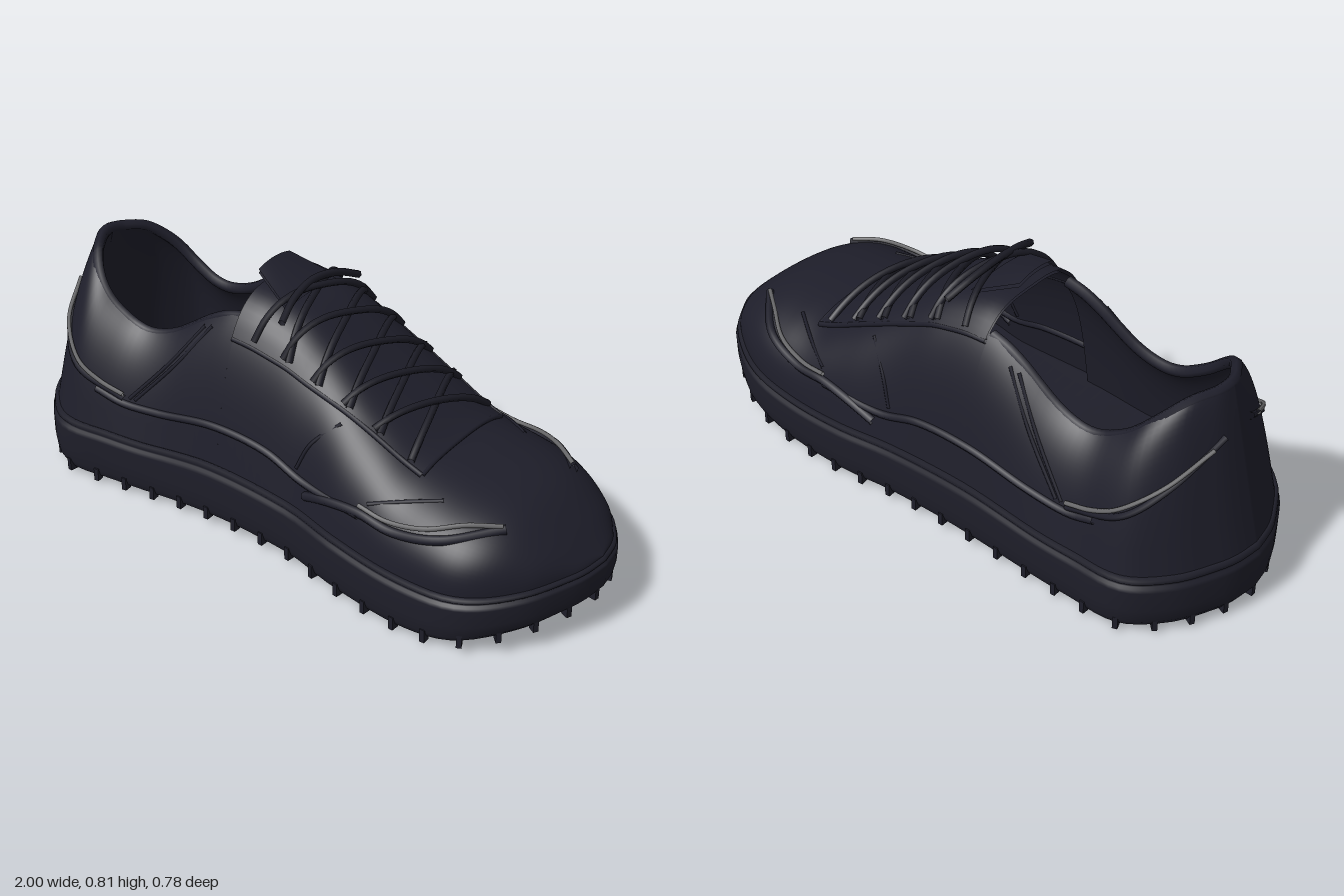
import * as THREE from 'three';
import { mergeVertices } from 'three/addons/utils/BufferGeometryUtils.js';

const mat = (name, color) => new THREE.MeshStandardMaterial({ name, color, side: THREE.DoubleSide });

// Smooth interpolation through [x, value] pairs
const table = (...p) => (x) => {
  const n = p.length - 1;
  x = Math.min(Math.max(x, p[0][0]), p[n][0]);
  let i = 0;
  while (i < n - 1 && x > p[i + 1][0]) i++;
  const slope = (k) => {
    const a = p[Math.max(k - 1, 0)], b = p[Math.min(k + 1, n)];
    return (b[1] - a[1]) / (b[0] - a[0]);
  };
  const h = p[i + 1][0] - p[i][0], t = (x - p[i][0]) / h, t2 = t * t, t3 = t2 * t;
  return p[i][1] * (2 * t3 - 3 * t2 + 1) + slope(i) * h * (t3 - 2 * t2 + t)
    + p[i + 1][1] * (3 * t2 - 2 * t3) + slope(i + 1) * h * (t3 - t2);
};

// Shape of the shoe along its length: half width, centre line, sole and crest heights
const halfWidth = table([-1, 0], [-0.99, 0.07], [-0.97, 0.13], [-0.9, 0.255], [-0.78, 0.352], [-0.6, 0.35],
  [-0.35, 0.338], [0.1, 0.34], [0.3, 0.368], [0.6, 0.376], [0.76, 0.345], [0.9, 0.24], [0.97, 0.125], [0.99, 0.07], [1, 0]);
const centre = table([-1, 0], [-0.78, -0.008], [-0.35, -0.03], [0.1, -0.03], [0.3, -0.018], [0.6, 0.005], [0.8, 0.015], [1, -0.02]);
const soleBottom = table([-1, 0.025], [-0.5, 0.022], [-0.2, 0.035], [0, 0.032], [0.5, 0.014], [0.7, 0.03], [0.9, 0.075], [1, 0.105]);
const soleTop = table([-1, 0.215], [-0.5, 0.2], [-0.2, 0.225], [0.2, 0.205], [0.5, 0.185], [0.8, 0.195], [1, 0.22]);
const crest = table([-1, 0.75], [-0.9, 0.742], [-0.8, 0.69], [-0.7, 0.625], [-0.57, 0.575], [-0.45, 0.6], [-0.3, 0.7],
  [-0.18, 0.745], [0, 0.71], [0.1, 0.66], [0.25, 0.57], [0.4, 0.485], [0.5, 0.435], [0.62, 0.415], [0.75, 0.395],
  [0.83, 0.365], [0.92, 0.3], [1, 0.225]);
const lean = (x) => 0.13 * Math.pow(Math.max(0, (-0.45 - x) / 0.55), 1.5);

// Roundness and inward taper of each section, and where the collar cuts it
const JOIN = -0.18;
const power = table([-1, 0.58], [-0.5, 0.56], [0.1, 0.56], [0.45, 0.7], [0.7, 0.8], [1, 0.8]);
const taper = table([-1, 0.22], [-0.5, 0.26], [0.1, 0.26], [0.5, 0.08], [0.7, 0], [1, 0]);
const rimRatio = table([-1, 0.6], [-0.8, 0.7], [-0.55, 0.76], [-0.18, 0.75]);
const rimAngle = (x) => Math.acos(Math.pow(rimRatio(x), 1 / power(x)));
const rimFrac = (x) => Math.pow(Math.sin(rimAngle(x)), power(x));

// Point on the upper at station x and section angle a, pushed out by off
function raw(x, a, side) {
  const p = power(x), f = Math.pow(Math.max(Math.sin(a), 0), p), yb = soleTop(x) - 0.01;
  const w = 0.965 * halfWidth(x) * (1 - taper(x) * f);
  return new THREE.Vector3(0.985 * (x + lean(x) * f / rimFrac(x)), yb + (crest(x) - yb) * f,
    centre(x) + side * w * Math.pow(Math.max(Math.cos(a), 0), p));
}
function surf(x, a, side, off = 0) {
  const p = raw(x, a, side);
  if (!off) return p;
  const x0 = Math.min(Math.max(x, -0.999), 0.996), a0 = Math.min(Math.max(a, 0.02), 1.55);
  const du = raw(x0 + 0.003, a0, side).sub(raw(x0, a0, side));
  const dv = raw(x0, a0 + 0.01, side).sub(raw(x0, a0, side));
  return p.addScaledVector(du.cross(dv).normalize(), off * side);
}
// Point on the side of the upper from a side-on position
function onSide(x, y, side, off) {
  let s = x, f = 0;
  for (let k = 0; k < 8; k++) {
    const yb = soleTop(s) - 0.01;
    f = Math.min(Math.max((y - yb) / (crest(s) - yb), 0.01), 0.88);
    s = Math.max(-1, x / 0.985 - lean(s) * f / rimFrac(s));
  }
  return surf(s, Math.asin(Math.pow(f, 1 / power(s))), side, off);
}
// Point on the top of the upper from a plan position
function onTop(x, z, off) {
  const d = z - centre(x), p = power(x);
  let a = Math.PI / 2;
  for (let k = 0; k < 10; k++) {
    const w = 0.965 * halfWidth(x) * (1 - taper(x) * Math.pow(Math.sin(a), p));
    a = Math.acos(Math.pow(Math.min(1, Math.abs(d) / w), 1 / p));
  }
  return surf(x, a, d < 0 ? -1 : 1, off);
}

// Smooth skin over a grid of points
function skin(nu, nv, fn) {
  const pos = [], idx = [];
  for (let j = 0; j <= nv; j++) for (let i = 0; i <= nu; i++) pos.push(...fn(i / nu, j / nv).toArray());
  for (let j = 0; j < nv; j++) for (let i = 0; i < nu; i++) {
    const a = j * (nu + 1) + i, c = a + nu + 1;
    idx.push(a, a + 1, c, a + 1, c + 1, c);
  }
  let g = new THREE.BufferGeometry();
  g.setAttribute('position', new THREE.Float32BufferAttribute(pos, 3));
  g.setIndex(idx);
  g = mergeVertices(g, 1e-5);
  g.computeVertexNormals();
  return g;
}

export function createModel() {
  const shoe = new THREE.Group();
  shoe.name = 'shoe';
  const fabric = mat('dark navy fabric', 0x1e1e2a), rubber = mat('dark navy rubber', 0x1e1e29);
  const cord = mat('lace navy', 0x1c1c26), grey = mat('reflective grey', 0x68686a);
  const add = (name, geo, m) => {
    const mesh = new THREE.Mesh(geo, m);
    mesh.name = name;
    shoe.add(mesh);
    return mesh;
  };
  const tube = (name, pts, r, m, seg = 40) =>
    add(name, new THREE.TubeGeometry(new THREE.CatmullRomCurve3(pts), seg, r, 6), m);

  // Sole: rings of [height fraction, x scale, z scale], closed below and above
  const rings = [[0.06, 0.975, 0], [0, 0.975, 0.95], [0.02, 0.98, 0.965], [0.15, 0.995, 0.99], [0.4, 1, 1], [0.78, 1, 1], [0.84, 0.997, 0.992],
    [0.87, 0.99, 0.975], [0.9, 0.99, 0.975], [0.93, 0.995, 0.985], [0.99, 0.993, 0.98], [1.03, 0.985, 0.965], [1.0, 0.975, 0.93], [1, 0.97, 0]];
  const solePoint = (u, [f, sx, sz]) => {
    const x = -Math.cos(u * 2 * Math.PI), b = soleBottom(x), side = u <= 0.5 ? 1 : -1;
    return new THREE.Vector3(x * sx, b + (soleTop(x) - b) * f, centre(x) + side * halfWidth(x) * sz * 1.01);
  };
  add('sole', skin(128, rings.length - 1, (u, v) => solePoint(u, rings[Math.round(v * (rings.length - 1))])), rubber);

  // Lugs around the lower edge of the sole
  const loop = [];
  for (let i = 0; i < 80; i++) loop.push(solePoint(i / 80, [0.1, 0.98, 0.965]));
  const edge = new THREE.CatmullRomCurve3(loop, true);
  const lugGeo = new THREE.BoxGeometry(0.016, 0.044, 0.026);
  for (let i = 0; i < 44; i++) {
    const lug = add('lug', lugGeo, rubber), t = edge.getTangentAt(i / 44);
    lug.position.copy(edge.getPointAt(i / 44));
    lug.position.y -= 0.008;
    lug.rotation.y = Math.atan2(-t.z, t.x);
  }

  // Front of the upper, from the mouth to the toe
  add('vamp', skin(60, 48, (u, v) => {
    const x = JOIN + (1 - JOIN) * Math.sin(u * Math.PI / 2);
    return surf(x, (1 - Math.abs(2 * v - 1)) * Math.PI / 2, v < 0.5 ? 1 : -1);
  }), fabric);

  // Heel and sides, with a lining and a padded rim; v runs from the sole to the collar
  const back = (u, v, off) => {
    const k = 2 * u - 1, x = -1 + (1 + JOIN) * (1 - Math.cos(k * Math.PI / 2));
    return surf(x, v * rimAngle(x), k < 0 ? -1 : 1, off);
  };
  add('quarter', skin(80, 16, (u, v) => back(u, v, 0)), fabric);
  add('lining', skin(80, 16, (u, v) => back(u, 1 - v, -0.03)), fabric);
  const rim = [];
  for (let i = 0; i <= 40; i++) if (i !== 20) rim.push(back(i / 40, 1, -0.015));
  tube('collarRim', rim, 0.018, fabric, 100);

  // Raised lacing panel and tongue tip
  add('lacePanel', skin(24, 24, (u, v) => onTop(JOIN + 0.69 * u, 0.19 - 0.42 * v, 0.01)), fabric);
  for (const z of [0.19, -0.23]) {
    const pts = [];
    for (let i = 0; i <= 10; i++) pts.push(onTop(JOIN + 0.069 * i, z, 0.005));
    tube('panelEdge', pts, 0.008, fabric);
  }
  const frontEdge = [];
  for (let i = 0; i <= 10; i++) frontEdge.push(onTop(0.51, 0.19 - 0.042 * i, 0.004));
  tube('panelFrontEdge', frontEdge, 0.008, fabric);
  for (const lift of [0, -0.012]) add('tongueTip', skin(6, 10, (u, v) => {
    const s = 1 - 2 * v;
    return new THREE.Vector3(-0.185 + 0.14 * u, 0.81 - 0.06 * u - 0.012 * s * s + lift, -0.02 + s * (0.075 + 0.05 * u));
  }), fabric);

  // Criss-cross laces
  for (let i = 0; i < 5; i++) for (const s of [1, -1]) {
    const x0 = -0.1 + i * 0.108, pts = [];
    for (let k = 0; k <= 10; k++) {
      const t = k / 10;
      pts.push(onTop(x0 + 0.13 * t, -0.02 + s * 0.2 * (1 - 2 * t), 0.014 + (0.024 + s * 0.008) * Math.sin(t * Math.PI)));
    }
    tube('lace', pts, 0.011, cord, 24);
  }
  // Top lace arching over the tongue
  tube('topLace', [[-0.01, 0.725, 0.19], [-0.03, 0.76, 0.11], [-0.04, 0.778, 0], [-0.03, 0.76, -0.11], [-0.01, 0.725, -0.19]]
    .map(([x, y, z]) => new THREE.Vector3(x, y, z - 0.02)), 0.012, cord, 24);

  // Overlays, seams and reflective strips on both sides
  const lines = [
    ['sideOverlayEdge', 0.012, fabric, 0.003, [[-0.65, 0.335], [-0.56, 0.31], [-0.42, 0.315], [-0.2, 0.35], [0, 0.34], [0.15, 0.3], [0.38, 0.3]]],
    ['toeOverlayEdge', 0.014, fabric, 0.005, [[0.17, 0.265], [0.25, 0.29], [0.38, 0.308], [0.5, 0.3], [0.65, 0.325], [0.79, 0.365]]],
    ['sideSeam', 0.006, fabric, 0, [[-0.27, 0.63], [-0.38, 0.48], [-0.51, 0.33]]],
    ['sideSeam', 0.006, fabric, 0, [[-0.3, 0.62], [-0.41, 0.47], [-0.53, 0.33]]],
    ['frontSeam', 0.006, fabric, 0, [[0.12, 0.33], [0.16, 0.42], [0.24, 0.5]]],
    ['toeSeam', 0.006, fabric, 0, [[0.4, 0.34], [0.5, 0.37], [0.6, 0.39]]],
    ['heelOverlayEdge', 0.011, fabric, 0.002, [[-0.88, 0.59], [-0.82, 0.48], [-0.73, 0.39], [-0.55, 0.325]]],
    ['heelStrip', 0.007, grey, 0.012, [[-0.87, 0.57], [-0.81, 0.49], [-0.72, 0.41], [-0.64, 0.365], [-0.55, 0.34]]],
    ['toeStrip', 0.007, grey, 0.014, [[0.38, 0.33], [0.48, 0.32], [0.6, 0.335], [0.7, 0.36], [0.78, 0.375]]],
  ];
  for (const [name, r, m, off, pts] of lines)
    for (const s of [1, -1]) tube(name, pts.map(([x, y]) => onSide(x, y, s, off)), r, m);

  return shoe;
}
